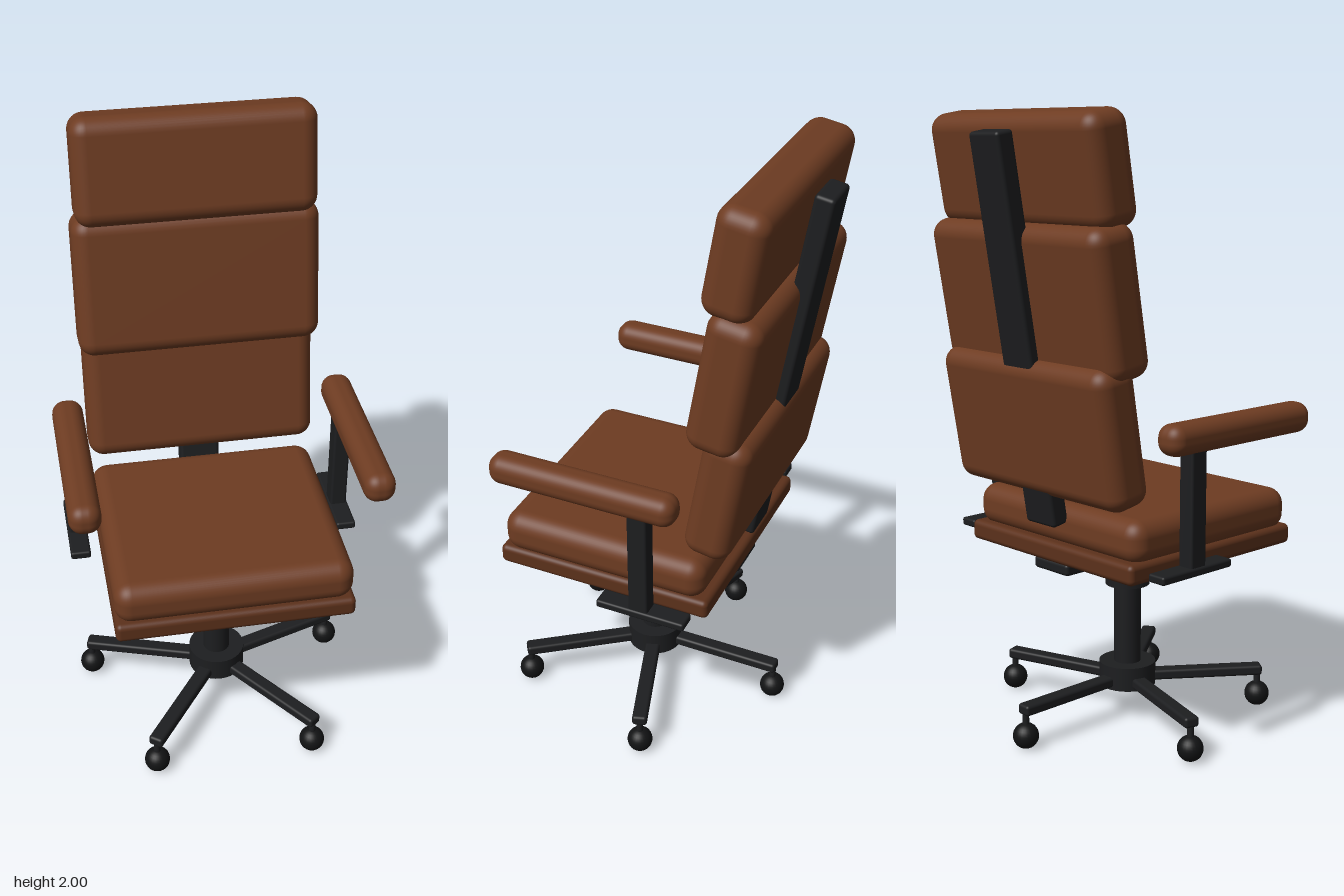
import * as THREE from 'three';
import { RoundedBoxGeometry } from 'three/addons/geometries/RoundedBoxGeometry.js';

const leather = new THREE.MeshStandardMaterial({ color: 0x6e3c22 });
const shell = new THREE.MeshStandardMaterial({ color: 0x5c311b });
const metal = new THREE.MeshStandardMaterial({ color: 0x1d1e20 });
const rubber = new THREE.MeshStandardMaterial({ color: 0x121314 });

const BASE_Z = 0.095; // swivel axis
const TILT = -0.17; // backrest recline

export function createModel() {
  const chair = new THREE.Group();
  chair.name = 'officeChair';

  const add = (name, geometry, material, x, y, z, parent = chair) => {
    const mesh = new THREE.Mesh(geometry, material);
    mesh.name = name;
    mesh.position.set(x, y, z);
    parent.add(mesh);
    return mesh;
  };
  const rounded = (w, h, d, r) => new RoundedBoxGeometry(w, h, d, 5, r);
  const cylinder = (r, h) => new THREE.CylinderGeometry(r, r, h, 32);

  // Seat
  add('seatPan', rounded(0.765, 0.066, 0.735, 0.018), shell, 0, 0.633, 0.107);
  add('seatCushion', rounded(0.762, 0.14, 0.705, 0.055), leather, 0, 0.72, 0.113);

  // Backrest: three reclined pads on a spine
  const pads = [
    ['lowerBackPad', 0.765, 0.442, 0.155, 1.05, -0.275],
    ['middleBackPad', 0.79, 0.462, 0.17, 1.448, -0.292],
    ['headPad', 0.765, 0.342, 0.16, 1.828, -0.315],
  ];
  for (const [name, w, h, d, y, z] of pads) {
    add(name, rounded(w, h, d, 0.052), leather, 0, y, z).rotation.x = TILT;
  }
  add('backSpine', rounded(0.135, 1.225, 0.063, 0.012), metal, 0, 1.334, -0.36).rotation.x = TILT;

  // Armrests, mirrored
  for (const side of [1, -1]) {
    const arm = new THREE.Group();
    arm.name = side > 0 ? 'leftArmrest' : 'rightArmrest';
    chair.add(arm);
    const x = side * 0.45;
    add('armPad', rounded(0.1, 0.098, 0.625, 0.042), leather, x, 1.046, 0.12, arm);
    add('armPost', rounded(0.055, 0.39, 0.065, 0.008), metal, x, 0.82, -0.068, arm);
    add('armFoot', rounded(0.066, 0.027, 0.3, 0.008), metal, x, 0.634, -0.075, arm);
  }

  // Tilt mechanism and gas lift
  add('tiltMechanism', rounded(0.16, 0.04, 0.35, 0.012), metal, 0, 0.583, -0.072);
  add('liftSleeve', cylinder(0.074, 0.145), metal, 0, 0.5275, BASE_Z);
  add('liftColumn', cylinder(0.045, 0.36), metal, 0, 0.32, BASE_Z);

  // Five-star base with ball casters, one spoke pointing back
  const base = new THREE.Group();
  base.name = 'starBase';
  base.position.z = BASE_Z;
  chair.add(base);
  add('hub', cylinder(0.095, 0.08), metal, 0, 0.145, 0, base);
  for (let i = 0; i < 5; i++) {
    const spoke = new THREE.Group();
    spoke.name = 'spoke';
    spoke.rotation.y = (i * Math.PI * 2) / 5;
    base.add(spoke);
    add('spokeBar', rounded(0.05, 0.035, 0.45, 0.01), metal, 0, 0.131, -0.238, spoke);
    add('casterStem', cylinder(0.011, 0.06), metal, 0, 0.095, -0.45, spoke);
    add('casterBall', new THREE.SphereGeometry(0.042, 24, 16), rubber, 0, 0.043, -0.45, spoke);
  }

  return chair;
}
